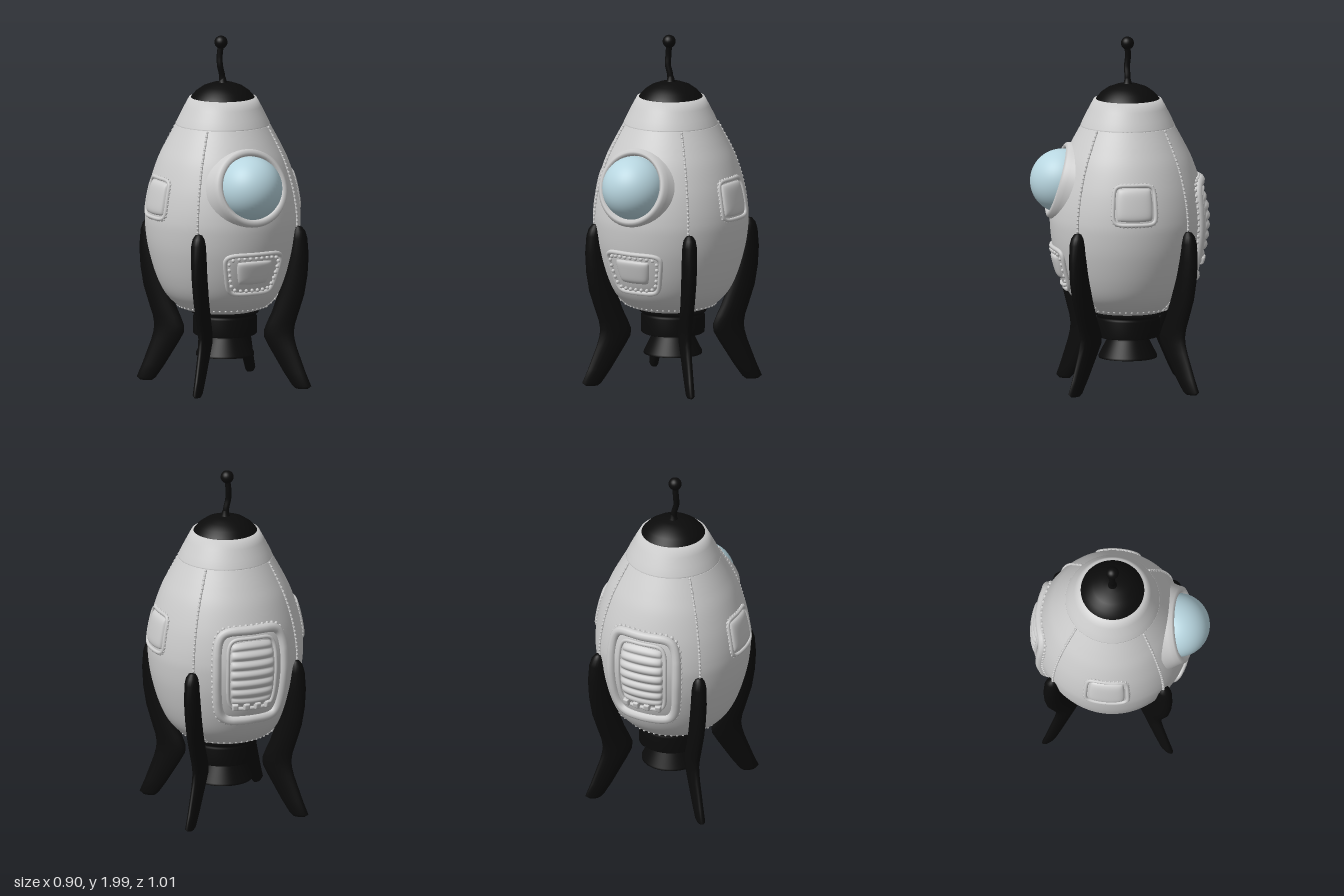
import * as THREE from 'three';
import { mergeGeometries } from 'three/addons/utils/BufferGeometryUtils.js';

const V2 = (p) => new THREE.Vector2(p[0], p[1]);
const V3 = (x, y, z) => new THREE.Vector3(x, y, z);

// Hull outline as [radius, height], rising from the flat base to the collar
const hullCurve = new THREE.SplineCurve([
  [0.19, 0.44], [0.25, 0.465], [0.325, 0.54], [0.378, 0.65], [0.42, 0.8], [0.437, 0.93],
  [0.435, 1.02], [0.42, 1.12], [0.397, 1.21], [0.362, 1.31], [0.318, 1.4], [0.264, 1.5],
].map(V2));
const hullPoints = hullCurve.getPoints(120);

function hullRadius(y) {
  const i = Math.min(Math.max(hullPoints.findIndex((p) => p.y >= y), 1), hullPoints.length - 1);
  const a = hullPoints[i - 1], b = hullPoints[i];
  return THREE.MathUtils.lerp(a.x, b.x, THREE.MathUtils.clamp((y - a.y) / (b.y - a.y), 0, 1));
}

// Point on the hull: angle from the front, arc offset u, height y, lift off the surface
function onHull(angle, u, y, lift) {
  const r = hullRadius(y) + lift, t = angle + u / 0.43;
  return V3(Math.sin(t) * r, y, Math.cos(t) * r);
}

export function createModel() {
  const model = new THREE.Group();
  model.name = 'rocket';
  const grey = new THREE.MeshStandardMaterial({ color: 0xcccccc, side: THREE.DoubleSide });
  const black = new THREE.MeshStandardMaterial({ color: 0x0b0b0b, side: THREE.DoubleSide });
  const glass = new THREE.MeshStandardMaterial({ color: 0xb8d6e0 });

  const axis = new THREE.Group();
  axis.name = 'rocketBody';
  axis.position.set(-0.005, 0, -0.05);
  model.add(axis);

  function add(name, geometry, material, parent = axis) {
    const mesh = new THREE.Mesh(geometry, material);
    mesh.name = name;
    parent.add(mesh);
    return mesh;
  }
  const lathe = (points, sides = 64) => new THREE.LatheGeometry(points.map((p) => (p.isVector2 ? p : V2(p))), sides);

  // Row of small stitches
  function stitches(name, points, size) {
    add(name, mergeGeometries(points.map((p) => new THREE.SphereGeometry(size, 8, 6).translate(p.x, p.y, p.z))), grey);
  }

  // Padded patch that follows the hull; taper widens it towards the top
  function cushion(name, angle, y, w, h, depth, taper = 0, ribs = 0) {
    const geo = new THREE.PlaneGeometry(2, 2, 28, ribs ? 72 : 28);
    const pos = geo.attributes.position;
    for (let i = 0; i < pos.count; i++) {
      const u = pos.getX(i), v = pos.getY(i);
      const puff = Math.sqrt(Math.max(0, (1 - u ** 6) * (1 - v ** 6)));
      const wave = ribs ? 0.45 + 0.55 * Math.abs(Math.sin((v + 1) * 0.5 * Math.PI * ribs)) : 1;
      // rounded corners
      const k = 1 - 0.07 * u * u * v * v;
      const p = onHull(angle, u * k * w * (1 + taper * v), y + v * k * h, depth * puff * wave - 0.006);
      pos.setXYZ(i, p.x, p.y, p.z);
    }
    geo.computeVertexNormals();
    add(name, geo, grey);
  }

  // Closed rounded-rectangle path on the hull
  function framePath(angle, y, w, h, taper, lift, count) {
    const soft = (c) => Math.sign(c) * Math.abs(c) ** 0.35;
    const pts = [];
    for (let i = 0; i < 64; i++) {
      const t = (i / 64) * Math.PI * 2, v = soft(Math.sin(t));
      pts.push(onHull(angle, soft(Math.cos(t)) * w * (1 + taper * v), y + v * h, lift));
    }
    const curve = new THREE.CatmullRomCurve3(pts, true);
    return count ? curve.getSpacedPoints(count).slice(1) : curve;
  }
  function frame(name, angle, y, w, h, taper, lift, thick) {
    add(name, new THREE.TubeGeometry(framePath(angle, y, w, h, taper, lift), 128, thick, 10, true), grey);
  }

  // Hull, collar and nose
  add('hull', lathe([V2([0, 0.44]), ...hullPoints, V2([0.2, 1.51])], 96), grey);
  add('collar', lathe([[0.24, 1.488], [0.259, 1.488], [0.266, 1.494], [0.264, 1.504], [0.245, 1.545],
    [0.217, 1.6], [0.19, 1.65], [0.1, 1.65]]), grey);
  add('noseCap', lathe([[0, 1.632], [0.182, 1.632], [0.186, 1.638], [0.176, 1.655], [0.15, 1.685],
    [0.11, 1.713], [0.06, 1.731], [0, 1.737]]), black);

  // Antenna with a wavy stem
  const stem = new THREE.CatmullRomCurve3([V3(-0.006, 1.72, 0), V3(-0.004, 1.77, 0), V3(-0.018, 1.83, 0.002),
    V3(-0.018, 1.88, -0.003), V3(-0.01, 1.96, 0)]);
  add('antennaStem', new THREE.TubeGeometry(stem, 32, 0.017, 12), black);
  add('antennaBase', lathe([[0.03, 1.725], [0.022, 1.742], [0.016, 1.765]], 20), black);
  add('antennaBall', new THREE.SphereGeometry(0.037, 24, 16), black).position.set(-0.011, 1.963, 0);

  // Round front window in a tilted padded surround
  const porthole = new THREE.Group();
  porthole.name = 'frontWindow';
  porthole.position.set(-0.01, 1.19, 0.385);
  porthole.rotation.x = -0.28;
  axis.add(porthole);
  add('windowSurround', lathe([[0.25, -0.07], [0.225, -0.015], [0.217, 0.012], [0.2, 0.022],
    [0.184, 0.014], [0.176, -0.02]]).rotateX(Math.PI / 2), grey, porthole);
  add('windowDome', new THREE.SphereGeometry(0.181, 48, 32), glass).position.set(-0.01, 1.185, 0.369);

  // Stitched seams between the four hull panels, and around the base
  for (let i = 0; i < 4; i++) {
    const a = Math.PI / 4 + (i * Math.PI) / 2;
    const at = (t, lift) => onHull(a, 0, 0.47 + 1.02 * t, lift);
    const line = Array.from({ length: 24 }, (_, k) => at(k / 23, 0.001));
    add('seam', new THREE.TubeGeometry(new THREE.CatmullRomCurve3(line), 60, 0.006, 8), grey);
    stitches('seamStitches', Array.from({ length: 46 }, (_, k) => at(k / 45, 0.003)), 0.008);
  }
  stitches('baseStitches', Array.from({ length: 48 }, (_, k) => onHull((k / 48) * Math.PI * 2, 0, 0.468, 0)), 0.007);

  // Front pocket with a studded border
  cushion('frontPocketBacking', 0, 0.698, 0.175, 0.118, 0.012, 0.08);
  frame('frontPocketBorder', 0, 0.698, 0.177, 0.117, 0.08, 0.006, 0.013);
  stitches('frontPocketStuds', framePath(0, 0.698, 0.155, 0.096, 0.08, 0.012, 26), 0.011);
  cushion('frontPocket', 0, 0.708, 0.115, 0.072, 0.03, 0.08);

  // Padded side panels
  for (const side of [-1, 1]) {
    const a = (side * Math.PI) / 2;
    cushion('sidePanel', a, 1.108, 0.108, 0.096, 0.022);
    frame('sidePanelBorder', a, 1.106, 0.122, 0.11, 0, 0.002, 0.011);
    stitches('sidePanelStitches', framePath(a, 1.106, 0.13, 0.118, 0, 0.001, 40), 0.007);
  }

  // Ribbed back hatch inside a thick quilted frame
  const back = Math.PI;
  cushion('backHatchBacking', back, 0.915, 0.21, 0.275, 0.01);
  frame('backHatchFrame', back, 0.915, 0.205, 0.27, 0, 0.004, 0.027);
  stitches('backHatchStitches', framePath(back, 0.915, 0.228, 0.293, 0, 0.002, 56), 0.011);
  cushion('backHatch', back, 0.93, 0.135, 0.2, 0.032, 0, 7);
  frame('backHatchBorder', back, 0.93, 0.143, 0.21, 0, 0.006, 0.011);
  for (let i = 0; i < 4; i++) cushion('backHatchTab', back, 0.735, 0.02, 0.024, 0.038);
  const tabs = axis.children.filter((m) => m.name === 'backHatchTab');
  tabs.forEach((m, i) => { m.rotation.y = (i - 1.5) * 0.155; });

  // Engine ring and flared, open nozzle
  const engine = new THREE.Group();
  engine.name = 'engine';
  engine.position.x = 0.014;
  axis.add(engine);
  add('engineRing', lathe([[0, 0.3], [0.172, 0.3], [0.179, 0.306], [0.18, 0.4], [0.174, 0.408],
    [0.174, 0.418], [0.188, 0.424], [0.188, 0.446], [0, 0.446]]), black, engine);
  add('nozzle', lathe([[0.115, 0.305], [0.12, 0.28], [0.164, 0.192], [0.164, 0.18], [0.152, 0.178],
    [0.115, 0.22], [0.1, 0.29], [0, 0.29]]), black, engine);

  // Four bent fins, lofted from oval sections: [height, distance out, half depth, half thickness]
  const rows = [[0.008, 0.462, 0.004, 0.003], [0.01, 0.462, 0.035, 0.016], [0.026, 0.462, 0.056, 0.023],
    [0.1, 0.42, 0.066, 0.025], [0.24, 0.35, 0.083, 0.028], [0.29, 0.329, 0.09, 0.03], [0.33, 0.325, 0.089, 0.031],
    [0.38, 0.339, 0.083, 0.033], [0.44, 0.363, 0.079, 0.035], [0.55, 0.4, 0.077, 0.038], [0.66, 0.425, 0.07, 0.041],
    [0.77, 0.441, 0.06, 0.043], [0.87, 0.446, 0.047, 0.041], [0.91, 0.444, 0.036, 0.034],
    [0.932, 0.442, 0.02, 0.02], [0.938, 0.441, 0.002, 0.002]];
  const sides = 20, verts = [], faces = [];
  rows.forEach(([y, out, depth, thick], j) => {
    for (let i = 0; i < sides; i++) {
      const t = (i / sides) * Math.PI * 2;
      verts.push(Math.sin(t) * thick, y, out + Math.cos(t) * depth);
      if (j === rows.length - 1) continue;
      const a = j * sides + i, b = j * sides + ((i + 1) % sides);
      faces.push(a, b, b + sides, a, b + sides, a + sides);
    }
  });
  const finGeo = new THREE.BufferGeometry();
  finGeo.setAttribute('position', new THREE.Float32BufferAttribute(verts, 3));
  finGeo.setIndex(faces);
  finGeo.computeVertexNormals();
  for (let i = 0; i < 4; i++) {
    const fin = add('fin', finGeo, black);
    fin.rotation.y = Math.PI / 4 + (i * Math.PI) / 2;
    fin.position.x = 0.008;
  }
  return model;
}
